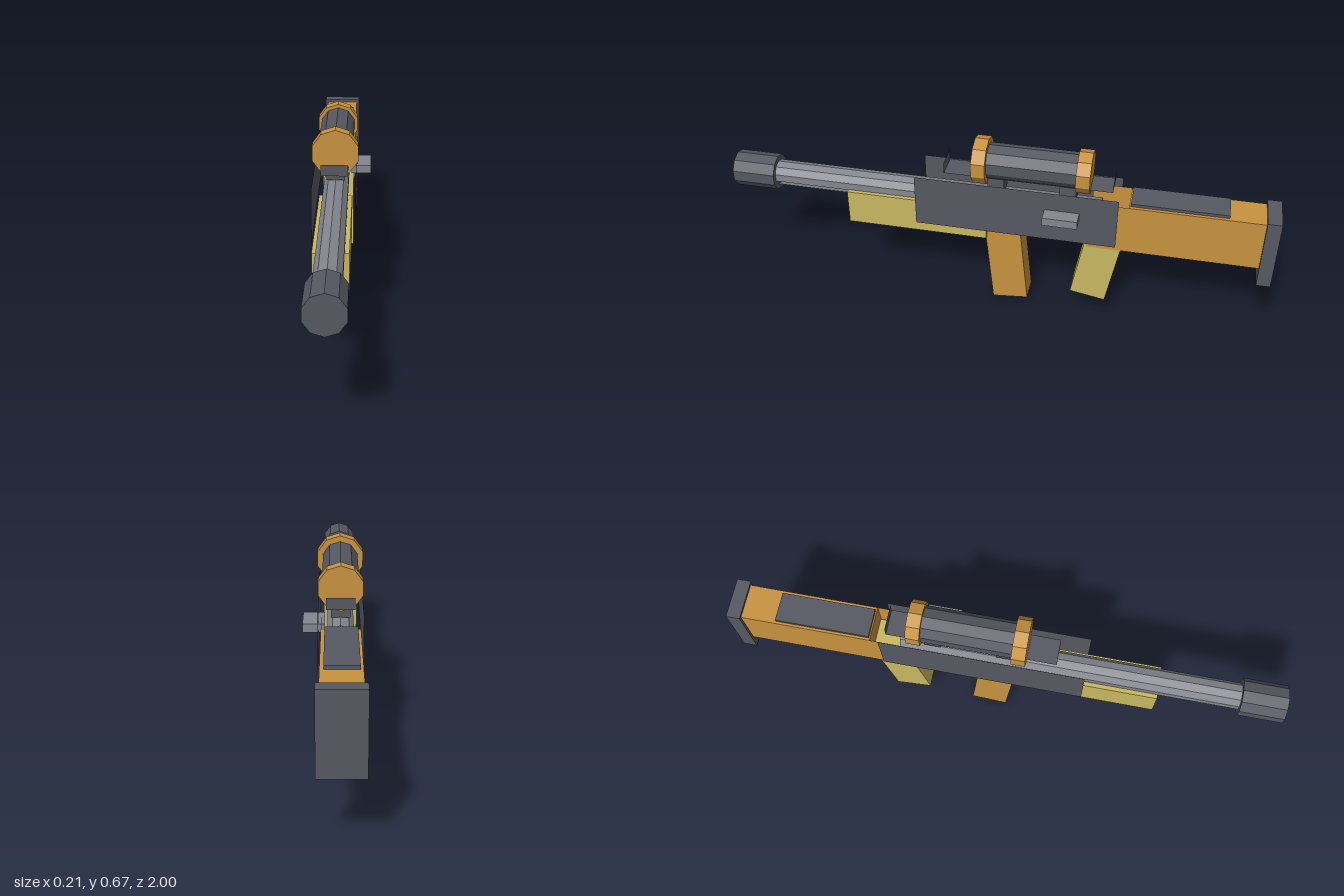
import * as THREE from 'three';

const CX = -0.023; // centre line of the body
const RAD = Math.PI / 180;

export function createModel() {
  const root = new THREE.Group();
  const mat = (name, color) => {
    const m = new THREE.MeshStandardMaterial({ color, side: THREE.DoubleSide, flatShading: true });
    m.name = name;
    return m;
  };
  const dark = mat('dark metal', 0x565962);
  const light = mat('light metal', 0x84878f);
  const orange = mat('orange', 0xc99340);
  const sand = mat('sand yellow', 0xc9b860);

  const add = (name, geometry, material) => {
    const mesh = new THREE.Mesh(geometry, material);
    mesh.name = name;
    root.add(mesh);
    return mesh;
  };
  // box from its limits on each axis
  const box = (name, m, x0, x1, y0, y1, z0, z1) =>
    add(name, new THREE.BoxGeometry(x1 - x0, y1 - y0, z1 - z0), m)
      .position.set((x0 + x1) / 2, (y0 + y1) / 2, (z0 + z1) / 2);
  // ten-sided tube along z, optionally only an arc of it
  const tube = (name, m, r, y, z0, z1, open = false, start = 0, sides = 10) => {
    const g = new THREE.CylinderGeometry(r, r, z1 - z0, sides, 1, open, start * RAD, sides * 36 * RAD);
    g.rotateX(Math.PI / 2);
    add(name, g, m).position.set(CX, y, (z0 + z1) / 2);
  };
  // thin upright sheet in the yz plane
  const sideSheet = (name, m, x, y0, y1, z0, z1) => {
    const g = new THREE.PlaneGeometry(z1 - z0, y1 - y0).rotateY(Math.PI / 2);
    add(name, g, m).position.set(x, (y0 + y1) / 2, (z0 + z1) / 2);
  };
  // slanted block: side outline of four [z, y] corners, extruded across x
  const slanted = (name, m, corners, halfWidth) => {
    const s = new THREE.Shape(corners.map(([z, y]) => new THREE.Vector2(-z, y)));
    const g = new THREE.ExtrudeGeometry(s, { depth: 2 * halfWidth, bevelEnabled: false });
    g.rotateY(Math.PI / 2).translate(CX - halfWidth, 0, 0);
    return add(name, g, m);
  };

  // barrel: upper shell and underside strip, with a slot along each lower side
  tube('barrelShell', light, 0.047, 0.43, -0.38, 0.85, true, 72, 6);
  tube('barrelUnderside', light, 0.047, 0.43, -0.38, 0.85, true, -36, 2);
  tube('muzzle', dark, 0.067, 0.43, 0.84, 1);

  // receiver side sheets and bolt handle
  for (const s of [-1, 1]) {
    sideSheet(s > 0 ? 'receiverLeft' : 'receiverRight', dark, CX + s * 0.075, 0.33, 0.53, -0.445, 0.29);
    sideSheet(s > 0 ? 'stockWallLeft' : 'stockWallRight', orange, CX + s * 0.064, 0.31, 0.5, -0.48, -0.34);
  }
  box('boltHandle', light, 0.03, 0.105, 0.428, 0.459, -0.31, -0.185);

  // stock, cheek rest and butt plate
  box('stock', orange, CX - 0.064, CX + 0.064, 0.31, 0.5, -0.955, -0.48);
  box('cheekRest', dark, CX - 0.055, CX + 0.052, 0.5, 0.511, -0.825, -0.485);
  box('buttPlate', dark, CX - 0.074, CX + 0.074, 0.242, 0.511, -1, -0.95);

  // fore-end, grip and magazine
  box('foreEnd', sand, CX - 0.06, CX + 0.06, 0.285, 0.418, 0.03, 0.555);
  slanted('grip', sand, [[-0.29, 0.09], [-0.42, 0.067], [-0.48, 0.4], [-0.35, 0.42]], 0.06);
  const mag = new THREE.BoxGeometry(0.094, 0.307, 0.131);
  const p = mag.attributes.position;
  for (let i = 0; i < p.count; i++) { // shear the box to lean forward at the top
    const y = p.getY(i), z = p.getZ(i);
    p.setXYZ(i, p.getX(i), y - z * 0.1, z + y * 0.1);
  }
  // leave the magazine mouth at the bottom open
  const index = Array.from(mag.index.array);
  index.splice(18, 6);
  mag.setIndex(index);
  add('magazine', mag, orange).position.set(CX, 0.163, -0.045);

  // sight rail: flat strip with an upturned tab at each end, on two posts
  const strip = new THREE.PlaneGeometry(0.094, 0.606).rotateX(-Math.PI / 2);
  add('sightRail', strip, dark).position.set(CX, 0.545, -0.117);
  for (const z of [-0.42, 0.186])
    add('sightTab', new THREE.PlaneGeometry(0.094, 0.04), dark).position.set(CX, 0.565, z);
  for (const z of [-0.26, 0])
    box('railPost', dark, CX - 0.033, CX + 0.033, 0.475, 0.545, z - 0.03, z + 0.03);

  // scope
  tube('scopeTube', dark, 0.065, 0.591, -0.3, 0.04);
  tube('scopeFrontRing', orange, 0.086, 0.591, 0.03, 0.08);
  tube('scopeRearRing', orange, 0.078, 0.591, -0.34, -0.29);

  return root;
}
